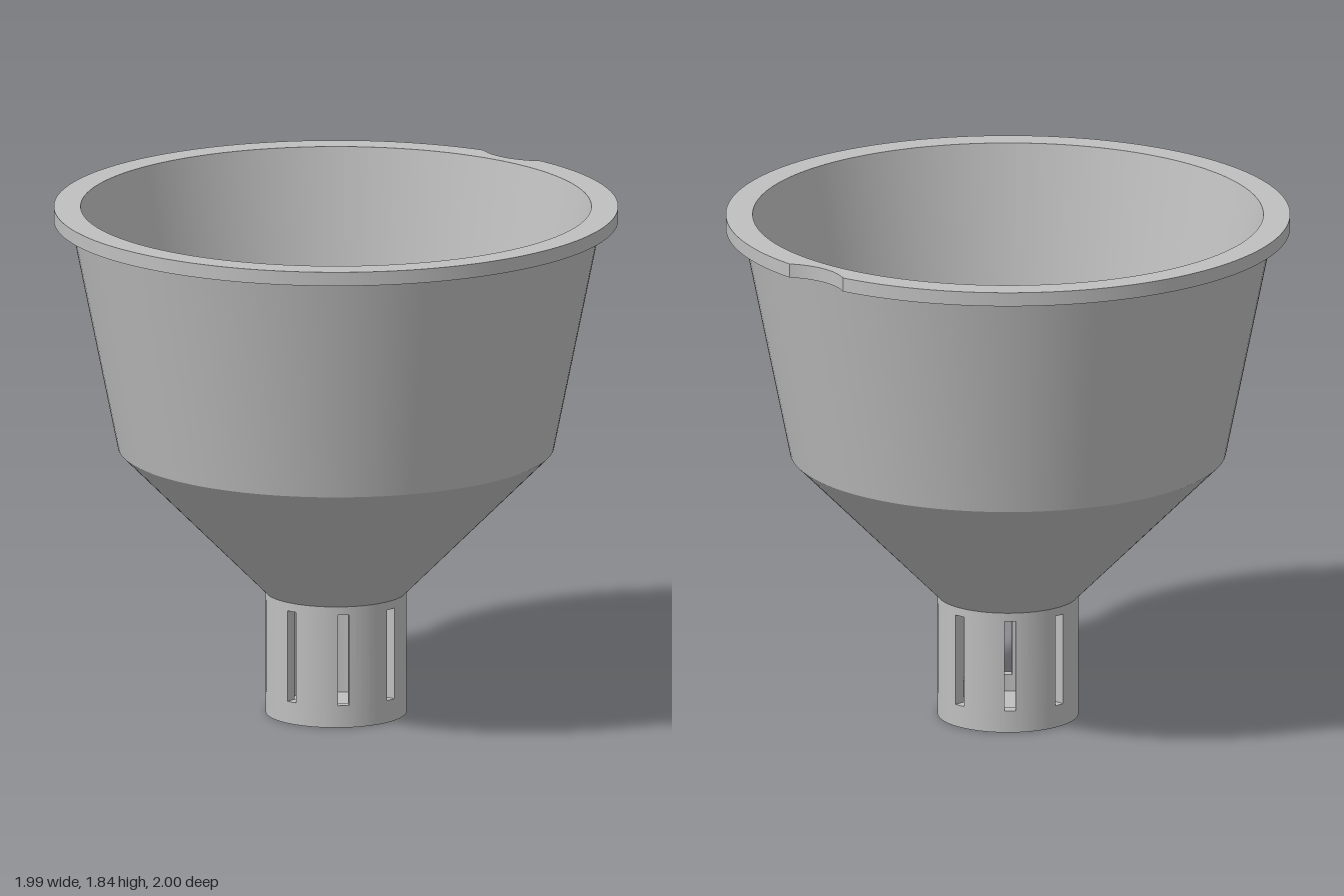
import * as THREE from 'three';
import { toCreasedNormals } from 'three/addons/utils/BufferGeometryUtils.js';

const grey = new THREE.MeshStandardMaterial({ color: 0xbfbfbf });
grey.name = 'grey plastic';

const TUBE_OUT = 0.25, TUBE_IN = 0.21, SLOT_HALF = 0.02, SLOTS = 8;

function part(name, geometry) {
  const mesh = new THREE.Mesh(toCreasedNormals(geometry, 0.4), grey);
  mesh.name = name;
  return mesh;
}

// Extrudes a plan-view shape upwards from y0 to y1
function slab(name, shape, y0, y1, curveSegments = 96) {
  const g = new THREE.ExtrudeGeometry(shape, { depth: y1 - y0, bevelEnabled: false, curveSegments });
  g.rotateX(-Math.PI / 2);
  g.translate(0, y0, 0);
  return part(name, g);
}

function disc(radius, holeRadius = 0) {
  const s = new THREE.Shape().absarc(0, 0, radius, 0, Math.PI * 2, false);
  if (holeRadius) s.holes.push(new THREE.Path().absarc(0, 0, holeRadius, 0, Math.PI * 2, true));
  return s;
}

// Wall section between two neighbouring slots with parallel sides
function ribShape() {
  const step = (Math.PI * 2) / SLOTS;
  const a = Math.asin(SLOT_HALF / TUBE_OUT), b = Math.asin(SLOT_HALF / TUBE_IN);
  const s = new THREE.Shape();
  s.absarc(0, 0, TUBE_OUT, a, step - a, false);
  s.absarc(0, 0, TUBE_IN, step - b, b, true);
  s.closePath();
  return s;
}

// Flange ring with a shallow round notch on the +x side
function rimShape() {
  const half = 0.13, cx = 1.195;
  const a = Math.asin(half), edgeX = Math.cos(a);
  const b = Math.atan2(half, cx - edgeX), r = Math.hypot(half, cx - edgeX);
  const s = new THREE.Shape();
  s.absarc(0, 0, 1, a, Math.PI * 2 - a, false);
  s.absarc(cx, 0, r, Math.PI + b, Math.PI - b, true);
  s.holes.push(new THREE.Path().absarc(0, 0, 0.905, 0, Math.PI * 2, true));
  return s;
}

export function createModel() {
  const model = new THREE.Group();
  model.name = 'funnel';

  // Cone and bowl walls, outside then inside
  const lathe = (pts) => new THREE.LatheGeometry(pts.map(([x, y]) => new THREE.Vector2(x, y)), 128);
  model.add(part('outerWall', lathe([[0.25, 0.44], [0.773, 0.965], [0.94, 1.79]])));
  model.add(part('innerWall', lathe([[0.905, 1.84], [0.735, 0.98], [0.21, 0.457], [0.21, 0.44]])));
  model.add(slab('rim', rimShape(), 1.79, 1.84, 128));

  // Closed spout with slots around it
  const spout = new THREE.Group();
  spout.name = 'spout';
  spout.add(slab('spoutFloor', disc(TUBE_OUT), 0, 0.02));
  spout.add(slab('spoutLowerRing', disc(TUBE_OUT, TUBE_IN), 0.02, 0.08));
  spout.add(slab('spoutUpperRing', disc(TUBE_OUT, TUBE_IN), 0.41, 0.44));
  for (let i = 0; i < SLOTS; i++) {
    const rib = slab('spoutRib', ribShape(), 0.08, 0.41, 12);
    rib.rotation.y = (i * Math.PI * 2) / SLOTS;
    spout.add(rib);
  }
  model.add(spout);

  // The notch shortens the +x side, so recentre
  model.children.forEach((c) => { c.position.x = 0.004; });
  return model;
}
